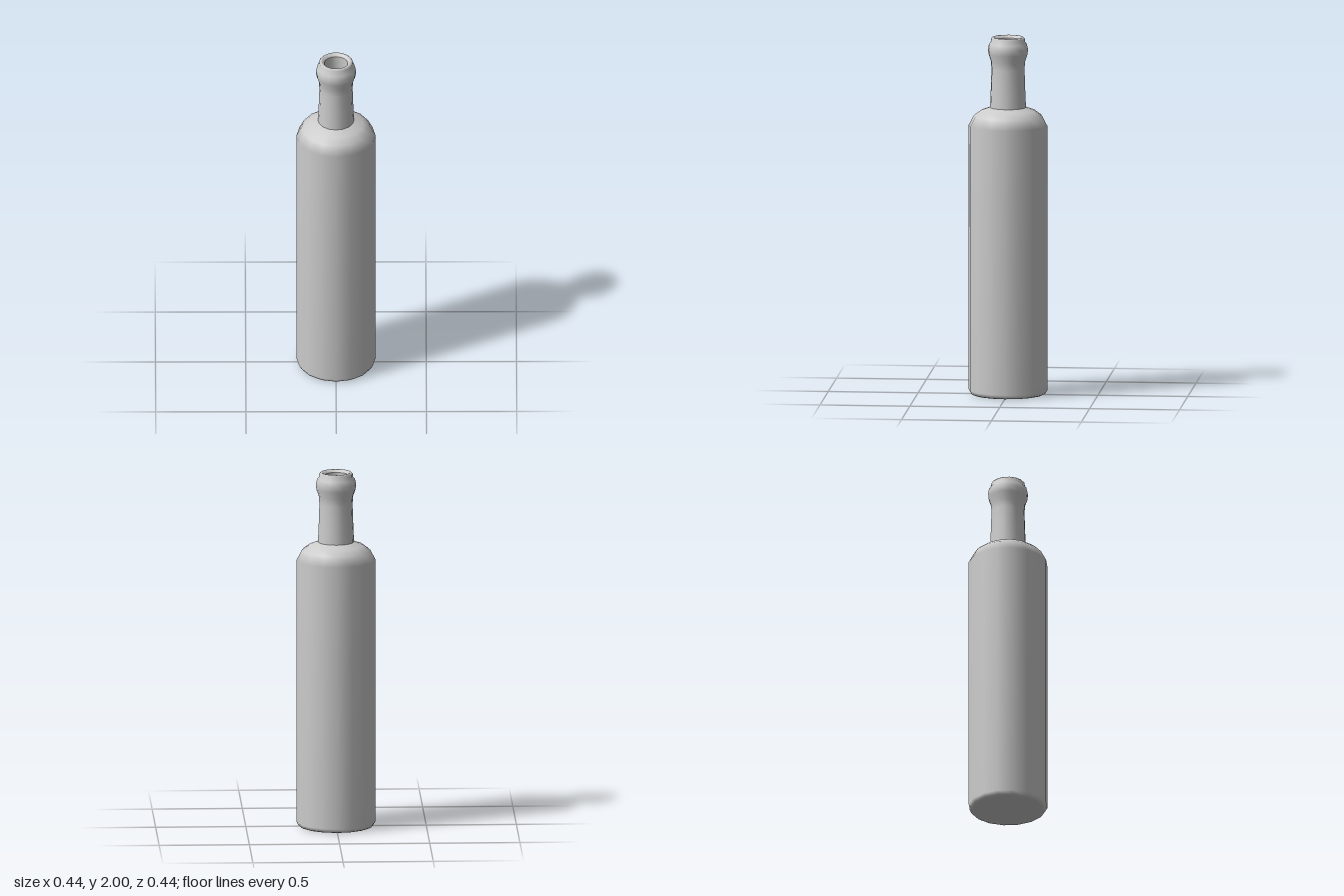
import * as THREE from 'three';

const SIDES = 16;

export function createModel() {
  const group = new THREE.Group();
  group.name = 'bottle';
  const material = new THREE.MeshStandardMaterial({ color: 0xcccccc });

  // Turns a [radius, height] profile around the y axis
  const turn = (name, profile) => {
    const points = profile.map(([r, y]) => new THREE.Vector2(r, y));
    const mesh = new THREE.Mesh(new THREE.LatheGeometry(points, SIDES), material);
    mesh.name = name;
    group.add(mesh);
  };

  // Body: flat base, small bevel, straight wall, rounded shoulder
  turn('body', [
    [0, 0], [0.196, 0], [0.208, 0.006], [0.219, 0.025], [0.219, 1.505],
    [0.19, 1.56], [0.152, 1.588], [0.1, 1.607],
  ]);

  // Neck with the swollen collar and rolled lip
  turn('neck', [
    [0.1, 1.607], [0.096, 1.7], [0.092, 1.82], [0.095, 1.865], [0.109, 1.905],
    [0.111, 1.935], [0.105, 1.962], [0.094, 1.975], [0.094, 1.992],
    [0.086, 2], [0.075, 1.998], [0.065, 1.985],
  ]);

  // Inside of the mouth and the hollow, running down to the inner floor
  turn('interior', [
    [0.065, 1.985], [0.065, 1.62], [0.14, 1.57], [0.2, 1.49],
    [0.2, 0.03], [0, 0.02],
  ]);

  return group;
}
